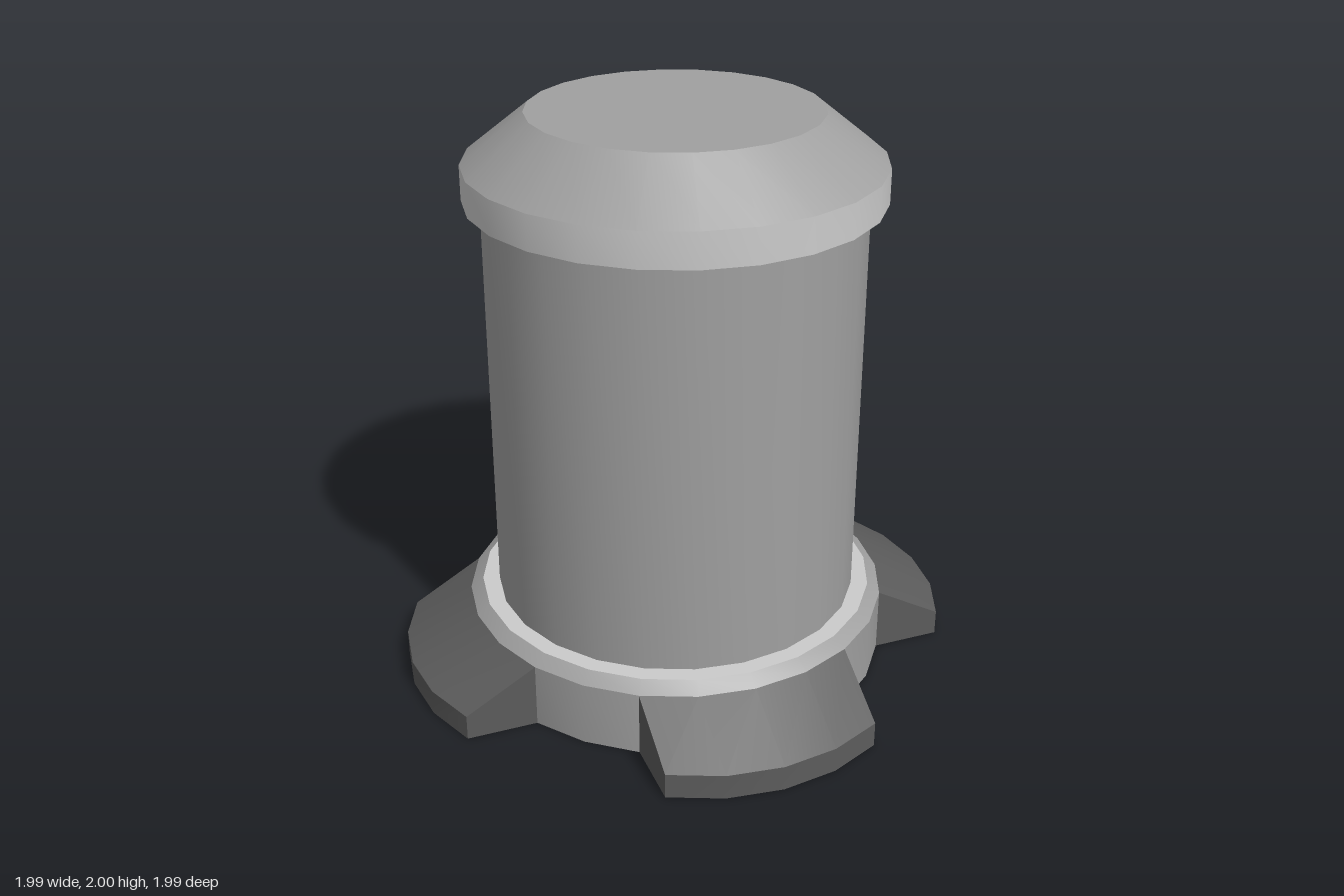
import * as THREE from 'three';
import { toCreasedNormals } from 'three/addons/utils/BufferGeometryUtils.js';

const SIDES = 24;
const BASE_R = 0.75;
const STEP = (Math.PI * 2) / SIDES;

const light = new THREE.MeshStandardMaterial({ color: 0xcccccc });
const mid = new THREE.MeshStandardMaterial({ color: 0xa0a0a0 });
const dark = new THREE.MeshStandardMaterial({ color: 0x5c5c5c });

function part(name, geometry, material) {
  const mesh = new THREE.Mesh(toCreasedNormals(geometry, 0.5), material);
  mesh.name = name;
  return mesh;
}

// Turned part from [radius, height] pairs, bottom to top
function turned(name, material, profile) {
  const points = profile.map(([r, y]) => new THREE.Vector2(r, y));
  return part(name, new THREE.LatheGeometry(points, SIDES), material);
}

// Sloped foot whose inner and outer edges both follow the base's curve
function footGeometry() {
  const geometry = new THREE.BoxGeometry(1, 1, 1, 4, 1, 1);
  const pos = geometry.attributes.position;
  for (let i = 0; i < pos.count; i++) {
    const angle = Math.round(pos.getX(i) * 4) * STEP;
    const outer = pos.getZ(i) > 0;
    const top = pos.getY(i) > 0;
    pos.setXYZ(
      i,
      BASE_R * Math.sin(angle),
      top ? (outer ? 0.09 : 0.23) : 0,
      BASE_R * Math.cos(angle) + (outer ? 0.245 : 0)
    );
  }
  return geometry;
}

export function createModel() {
  const model = new THREE.Group();
  model.name = 'footedCanister';

  // Base disc: dark underside, grey chamfered wall, light ledge
  model.add(turned('baseUnderside', dark, [[0, 0], [BASE_R, 0]]));
  model.add(turned('baseWall', mid, [[BASE_R, 0], [BASE_R, 0.23], [0.705, 0.265]]));
  model.add(turned('baseLedge', light, [[0.705, 0.265], [0.645, 0.265]]));

  // Cylindrical body
  model.add(turned('body', mid, [[0.645, 0.265], [0.645, 1.71]]));

  // Overhanging cap: light rim, grey sloped shoulder and flat top
  model.add(turned('capRim', light, [[0.645, 1.71], [0.705, 1.71], [0.705, 1.83]]));
  model.add(turned('capTop', mid, [[0.705, 1.83], [0.493, 2], [0, 2]]));

  // Four feet around the base
  for (let i = 0; i < 4; i++) {
    const foot = part('foot', footGeometry(), dark);
    foot.rotation.y = (i * Math.PI) / 2;
    model.add(foot);
  }
  return model;
}
